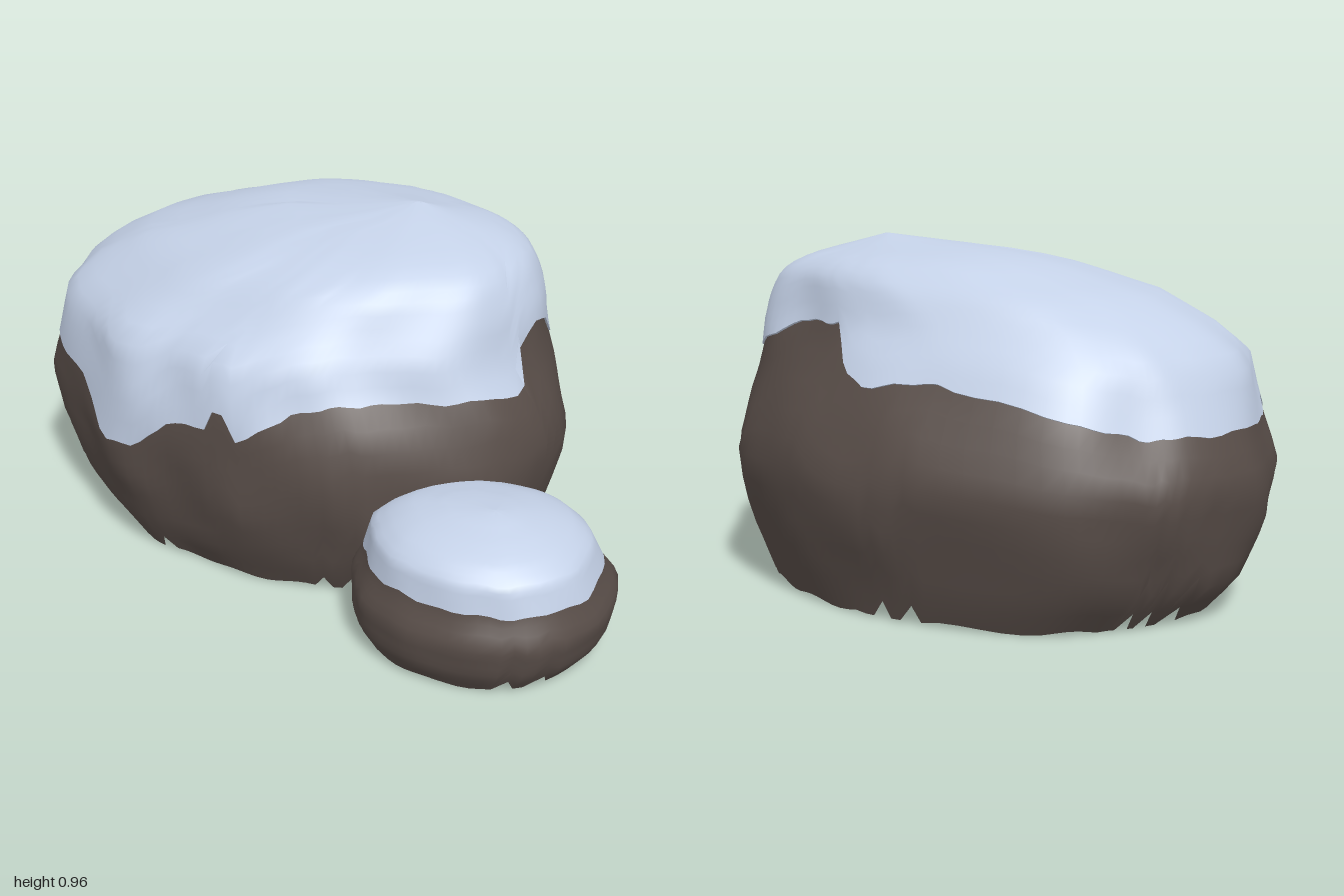
import * as THREE from 'three';
import { toCreasedNormals } from 'three/addons/utils/BufferGeometryUtils.js';

const rockMat = new THREE.MeshStandardMaterial({ name: 'rockBrown', color: 0x584d48, side: THREE.DoubleSide });
const snowMat = new THREE.MeshStandardMaterial({ name: 'snowBlue', color: 0xc4d1e7, side: THREE.DoubleSide });

// Linear lookup in a table sorted by its first column
function lookup(table, k) {
  const last = table[table.length - 1];
  if (k >= last[0]) return last;
  let i = 0;
  while (i < table.length - 2 && table[i + 1][0] <= k) i++;
  const a = table[i], b = table[i + 1];
  const t = (k - a[0]) / (b[0] - a[0]);
  return a.map((v, j) => v + (b[j] - v) * t);
}

// Surface from rows of points around the boulder, bottom to top
function skin(rows, cols) {
  const pos = rows.flat().flatMap((p) => [p.x, p.y, p.z]);
  const index = [];
  for (let r = 0; r < rows.length - 1; r++) {
    for (let c = 0; c < cols; c++) {
      const a = r * cols + c, d = r * cols + ((c + 1) % cols);
      index.push(a, a + cols, d, a + cols, d + cols, d);
    }
  }
  const geo = new THREE.BufferGeometry();
  geo.setAttribute('position', new THREE.Float32BufferAttribute(pos, 3));
  geo.setIndex(index);
  return toCreasedNormals(geo, 0.9);
}

// A hollow rock with a snow shell on top.
// outline: widest section [x, z]; levels: [y, xMin, xMax, zMin, zMax];
// edge: snow line [outline index, y]; teeth: outline ranges with a ragged base;
// bulges: local swellings [outline index, y, y range, amount]
function boulder(name, { outline, levels, edge, teeth, bulges, cols, lump }) {
  const curve = new THREE.CatmullRomCurve3(
    outline.map(([x, z]) => new THREE.Vector3(x, 0, z)), true);
  const xs = outline.map((p) => p[0]), zs = outline.map((p) => p[1]);
  const x0 = Math.min(...xs), x1 = Math.max(...xs);
  const z0 = Math.min(...zs), z1 = Math.max(...zs);
  const top = levels[levels.length - 1][0];
  const centre = new THREE.Vector3((x0 + x1) / 2, top * 0.35, (z0 + z1) / 2);
  const n = outline.length;

  const point = (c, y, swell) => {
    const u = c / cols, a = u * Math.PI * 2;
    const o = curve.getPoint(u);
    const [, xa, xb, za, zb] = lookup(levels, y);
    const p = new THREE.Vector3(
      xa + (xb - xa) * (o.x - x0) / (x1 - x0), y,
      za + (zb - za) * (o.z - z0) / (z1 - z0));
    const fade = Math.min(1, (top - y) / (top * 0.3)) * Math.min(1, y / 0.1);
    const bump = lump * fade * (Math.sin(a * 7 + y * 13) + Math.sin(a * 11 - y * 19 + 2)) * 0.5;
    const side = bulges.reduce((s, [k, by, h, amount]) =>
      s + amount * Math.exp(-((u * n - k) ** 2) - ((y - by) / h) ** 2), 1 + bump);
    p.sub(centre).multiplyScalar(1 + swell);
    p.x *= side;
    p.z *= side;
    p.add(centre);
    if (y < centre.y) p.y = y;
    return p;
  };
  const snowLine = (c) => lookup(edge, c / cols * n)[1] + 0.006 * Math.sin(c * 1.3) * Math.sin(c * 0.37);
  const base = (c) => {
    const k = c / cols * n;
    const ragged = teeth.some(([a, b]) => k >= a && k <= b);
    return ragged ? (c % 3 === 1 ? 0.042 + 0.012 * Math.sin(c * 2.1) : 0.004) : 0.006 + 0.006 * Math.sin(c * 0.9);
  };
  const ring = (fn) => Array.from({ length: cols }, (_, c) => fn(c));
  const lowRows = 10, highRows = 18;
  const upper = (swell, j) => ring((c) => {
    const e = snowLine(c), t = 1 - (1 - j / highRows) ** 2;
    return point(c, e + (top - e) * t, swell);
  });

  // Rock runs from the ragged base to the crown, just under the snow
  const rock = [];
  for (let j = 0; j < lowRows; j++) {
    rock.push(ring((c) => point(c, base(c) + (snowLine(c) - base(c)) * j / lowRows, 0)));
  }
  for (let j = 0; j <= highRows; j++) rock.push(upper(0, j));

  // Snow starts as a small lip inside the rock wall and folds outward
  const snow = [
    ring((c) => point(c, snowLine(c) + 0.02, -0.025)),
    ring((c) => point(c, snowLine(c), -0.025)),
  ];
  for (let j = 0; j <= highRows; j++) snow.push(upper(0.007, j));

  const group = new THREE.Group();
  group.name = name;
  const body = new THREE.Mesh(skin(rock, cols), rockMat);
  body.name = name + 'Rock';
  const cap = new THREE.Mesh(skin(snow, cols), snowMat);
  cap.name = name + 'Snow';
  group.add(body, cap);
  return group;
}

export function createModel() {
  const model = new THREE.Group();
  model.name = 'snowyBoulders';

  model.add(boulder('largeBoulder', {
    cols: 120, lump: 0.01,
    outline: [
      [-1, 0.03], [-0.96, -0.2], [-0.9, -0.31], [-0.78, -0.47], [-0.43, -0.62],
      [-0.23, -0.66], [0, -0.65], [0.22, -0.58], [0.42, -0.46], [0.62, -0.16],
      [0.62, 0.12], [0.5, 0.3], [0.36, 0.45], [0.2, 0.53], [0, 0.59],
      [-0.2, 0.59], [-0.38, 0.6], [-0.6, 0.5], [-0.85, 0.35], [-0.93, 0.22]],
    levels: [
      [0, -0.84, 0.5, -0.57, 0.5], [0.1, -0.93, 0.56, -0.6, 0.55],
      [0.25, -0.98, 0.61, -0.645, 0.59], [0.37, -1, 0.62, -0.66, 0.6],
      [0.5, -0.95, 0.58, -0.62, 0.595], [0.6, -0.915, 0.52, -0.565, 0.57],
      [0.66, -0.895, 0.495, -0.53, 0.555], [0.74, -0.81, 0.48, -0.475, 0.46],
      [0.82, -0.66, 0.455, -0.445, 0.38], [0.85, -0.54, 0.435, -0.43, 0.33],
      [0.88, -0.45, 0.39, -0.4, 0.26], [0.9, -0.37, 0.34, -0.36, 0.19],
      [0.92, -0.26, 0.28, -0.27, 0.08], [0.93, -0.1, 0.24, -0.22, 0.03],
      [0.955, 0.14, 0.14, -0.12, -0.12]],
    edge: [
      [0, 0.5], [2, 0.5], [3, 0.55], [4, 0.62], [5.2, 0.6], [5.6, 0.63], [6, 0.74],
      [7, 0.73], [8, 0.65], [8.33, 0.63], [8.5, 0.595], [8.7, 0.68], [9, 0.69], [9.33, 0.65],
      [9.5, 0.56], [9.7, 0.54], [10, 0.56], [11, 0.57], [12, 0.58], [13, 0.56], [13.8, 0.47],
      [13.97, 0.48], [14, 0.54], [14.17, 0.54], [14.2, 0.49], [15, 0.47], [15.6, 0.37],
      [16.2, 0.36], [17, 0.48], [18, 0.5], [18.4, 0.55], [19, 0.5], [20, 0.5]],
    teeth: [[0.5, 2], [4, 5], [7.5, 10.5], [12, 12.8], [15.6, 16], [17.6, 18.6]],
    bulges: [[8.2, 0.74, 0.17, 0.13], [11.7, 0.62, 0.16, -0.06]],
  }));

  model.add(boulder('smallBoulder', {
    cols: 60, lump: 0.008,
    outline: [
      [0.3, 0.4], [0.34, 0.22], [0.45, 0.09], [0.62, 0.03], [0.78, 0.02], [0.94, 0.13],
      [1, 0.36], [0.93, 0.54], [0.8, 0.63], [0.62, 0.66], [0.47, 0.62], [0.36, 0.52]],
    levels: [
      [0, 0.34, 0.93, 0.07, 0.62], [0.06, 0.3, 0.98, 0.03, 0.655],
      [0.15, 0.3, 1, 0.02, 0.665], [0.22, 0.34, 0.965, 0.08, 0.63],
      [0.3, 0.365, 0.935, 0.115, 0.615], [0.335, 0.41, 0.885, 0.145, 0.575],
      [0.36, 0.46, 0.825, 0.205, 0.515], [0.38, 0.56, 0.75, 0.3, 0.44],
      [0.388, 0.7, 0.7, 0.38, 0.38]],
    edge: [[0, 0.215], [3, 0.225], [6, 0.225], [9, 0.23], [11, 0.225], [12, 0.215]],
    teeth: [[1, 5], [6.3, 7.6], [10, 12]],
    bulges: [],
  }));

  return model;
}
